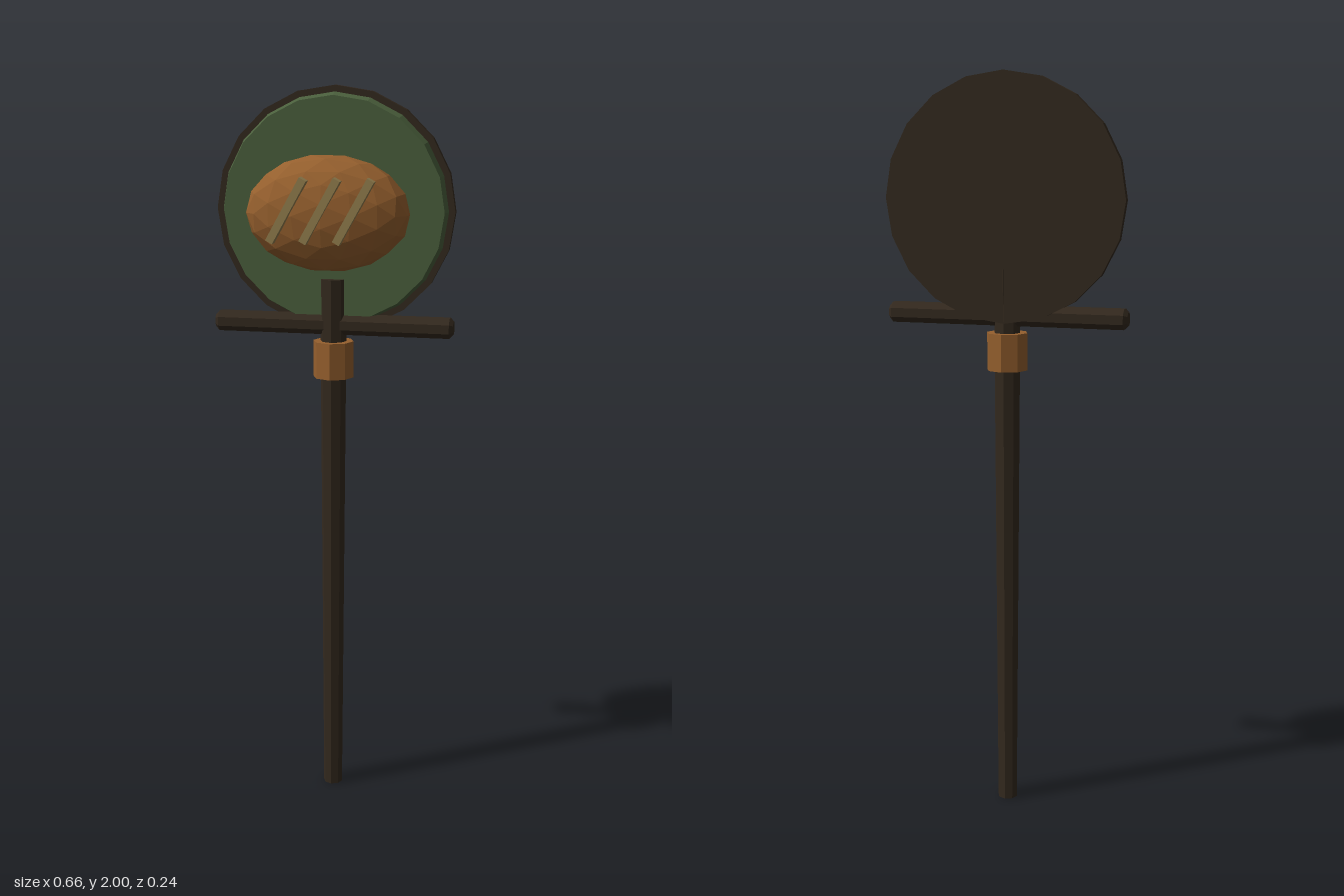
import * as THREE from 'three';

const mat = (name, color) => {
  const m = new THREE.MeshStandardMaterial({ color });
  m.name = name;
  return m;
};

export function createModel() {
  const darkWood = mat('dark wood', 0x33291e);
  const green = mat('board green', 0x4a5f3c);
  const crust = mat('crust brown', 0x96602e);
  const cream = mat('score tan', 0x95804f);

  const model = new THREE.Group();
  model.name = 'signpost';

  // Faceted mesh helper
  const add = (name, geometry, material, x, y, z) => {
    const g = geometry.index ? geometry.toNonIndexed() : geometry;
    g.computeVertexNormals();
    const mesh = new THREE.Mesh(g, material);
    mesh.name = name;
    mesh.position.set(x, y, z);
    model.add(mesh);
    return mesh;
  };

  const poleZ = -0.066;
  const signY = 1.676;

  // Tapered pole and its collar
  add('pole', new THREE.CylinderGeometry(0.037, 0.027, 1.494, 8), darkWood, 0, 0.747, poleZ);
  add('collar', new THREE.CylinderGeometry(0.056, 0.056, 0.1, 8), crust, 0, 1.274, poleZ);

  // Crossbar with chamfered edges, extruded along x
  const h = 0.017, c = 0.009, b = 0.01;
  const section = new THREE.Shape([
    [-h, -h + c], [-h + c, -h], [h - c, -h], [h, -h + c],
    [h, h - c], [h - c, h], [-h + c, h], [-h, h - c],
  ].map(([x, y]) => new THREE.Vector2(x, y)));
  const bar = new THREE.ExtrudeGeometry(section, {
    depth: 0.658 - 2 * b, bevelEnabled: true, bevelSize: b, bevelThickness: b, bevelSegments: 1,
  });
  bar.center().rotateY(Math.PI / 2);
  add('crossbar', bar, darkWood, 0, 1.37, poleZ);

  // Round sign: dark backing and green face
  const disc = (rFront, rBack, depth) =>
    new THREE.CylinderGeometry(rFront, rBack, depth, 20).rotateX(Math.PI / 2);
  add('signBacking', disc(0.325, 0.325, 0.022), darkWood, 0, signY, -0.091);
  add('signFace', disc(0.3, 0.308, 0.027), green, 0, signY, -0.0665);

  // Loaf emblem
  add('loaf', new THREE.IcosahedronGeometry(1, 2).scale(0.22, 0.153, 0.097), crust, 0, signY, 0.012);

  // Slanted score marks
  for (const i of [-1, 0, 1]) {
    const mark = add('scoreMark', new THREE.BoxGeometry(0.0205, 0.185, 0.028), cream, i * 0.088, 1.691, 0.107);
    mark.rotation.z = -0.51;
  }

  return model;
}
